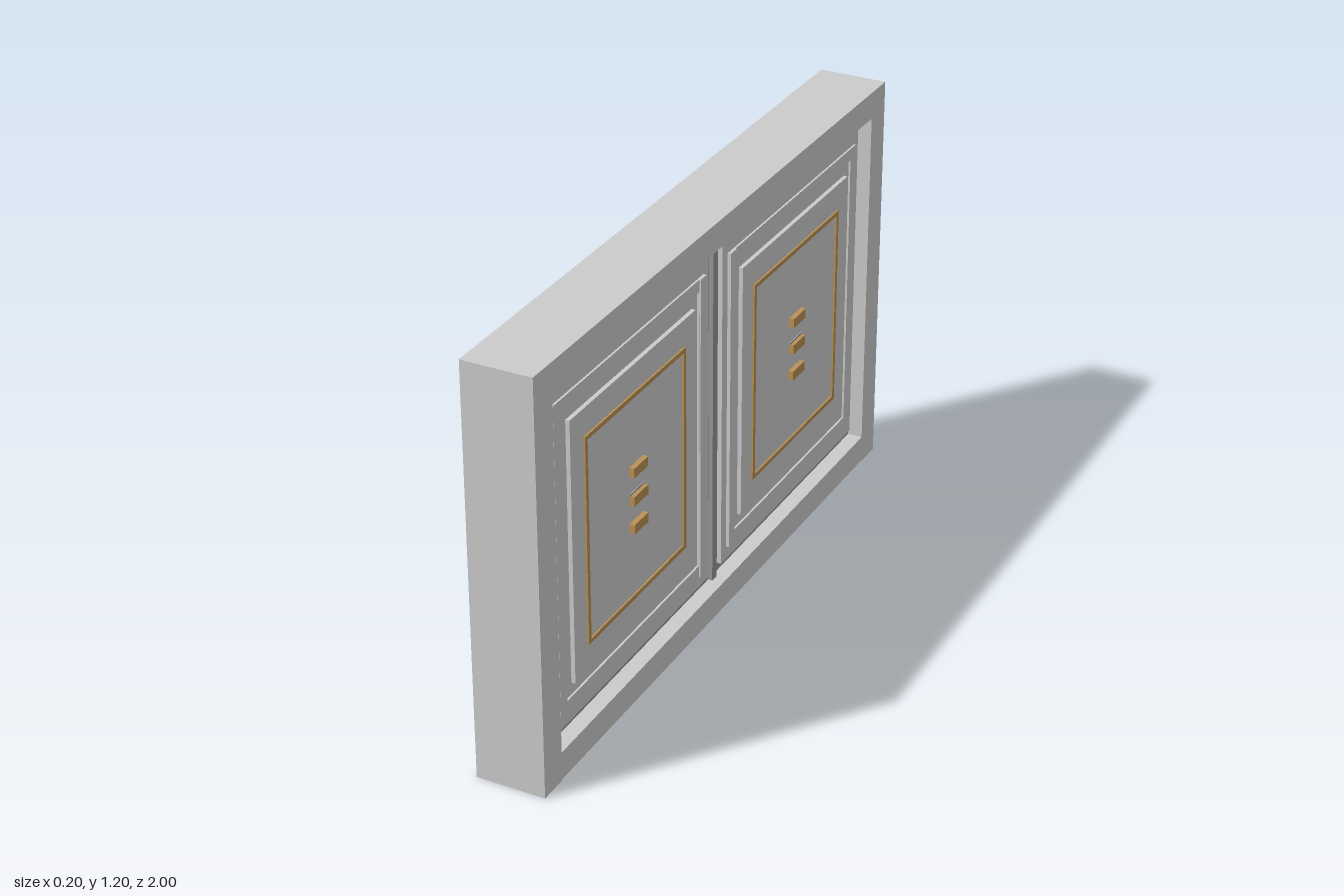
import * as THREE from 'three';

export function createModel() {
  const model = new THREE.Group();
  const grey = new THREE.MeshStandardMaterial({ color: 0xcccccc });
  const dark = new THREE.MeshStandardMaterial({ color: 0x969696 });
  const brass = new THREE.MeshStandardMaterial({ color: 0xba9155 });

  // Box given by its limits on each axis
  function box(parent, name, mat, [x0, x1], [y0, y1], [z0, z1]) {
    const mesh = new THREE.Mesh(new THREE.BoxGeometry(x1 - x0, y1 - y0, z1 - z0), mat);
    mesh.position.set((x0 + x1) / 2, (y0 + y1) / 2, (z0 + z1) / 2);
    mesh.name = name;
    parent.add(mesh);
    return mesh;
  }

  // Rectangular ring in the y-z plane: two stiles and two rails of width w
  function ring(parent, name, mat, x, [y0, y1], [z0, z1], w) {
    const group = new THREE.Group();
    group.name = name;
    box(group, name + 'Stile', mat, x, [y0, y1], [z0, z0 + w]);
    box(group, name + 'Stile', mat, x, [y0, y1], [z1 - w, z1]);
    box(group, name + 'Rail', mat, x, [y0, y0 + w], [z0 + w, z1 - w]);
    box(group, name + 'Rail', mat, x, [y1 - w, y1], [z0 + w, z1 - w]);
    parent.add(group);
  }

  // Outer frame
  for (const s of [-1, 1]) {
    const post = box(model, 'endPost', grey, [-0.1, 0.1], [0, 1.2], [0.912, 1]);
    post.position.z *= s;
  }
  box(model, 'topRail', grey, [-0.1, 0.1], [1.12, 1.2], [-0.912, 0.912]);
  box(model, 'bottomRail', grey, [-0.1, 0.1], [0.003, 0.085], [-0.912, 0.912]);

  // Recessed core and centre divider
  box(model, 'core', dark, [-0.055, 0.055], [0.085, 1.12], [-0.912, 0.912]);
  box(model, 'centreDivider', dark, [-0.068, 0.068], [0.085, 1.12], [-0.013, 0.013]);

  // One decorated door leaf face, on the +x side at +z
  function leafFace() {
    const leaf = new THREE.Group();
    leaf.name = 'doorLeaf';
    box(leaf, 'leafSlab', grey, [0.05, 0.068], [0.11, 1.092], [0.04, 0.892]);

    // Stepped mouldings and raised field
    ring(leaf, 'outerMoulding', grey, [0.06, 0.074], [0.15, 1.053], [0.07, 0.867], 0.035);
    box(leaf, 'innerStile', grey, [0.06, 0.078], [0.15, 1.053], [0.07, 0.104]);
    box(leaf, 'raisedField', grey, [0.06, 0.08], [0.22, 0.982], [0.137, 0.8]);

    // Brass inlay and bars
    ring(leaf, 'inlay', brass, [0.07, 0.085], [0.3, 0.905], [0.2, 0.735], 0.013);
    for (const y of [0.52, 0.603, 0.686]) {
      box(leaf, 'brassBar', brass, [0.07, 0.095], [y - 0.014, y + 0.014], [0.43, 0.505]);
    }
    for (const y of [0.587, 0.619]) {
      box(leaf, 'barShadowLine', dark, [0.07, 0.084], [y - 0.003, y + 0.003], [0.43, 0.505]);
    }
    return leaf;
  }

  // Same leaf on both faces and mirrored across the divider
  for (const sx of [-1, 1]) {
    for (const sz of [-1, 1]) {
      const leaf = leafFace();
      for (const part of leaf.children) {
        part.position.x *= sx;
        part.position.z *= sz;
        for (const piece of part.children) {
          piece.position.x *= sx;
          piece.position.z *= sz;
        }
      }
      model.add(leaf);
    }
  }
  return model;
}
